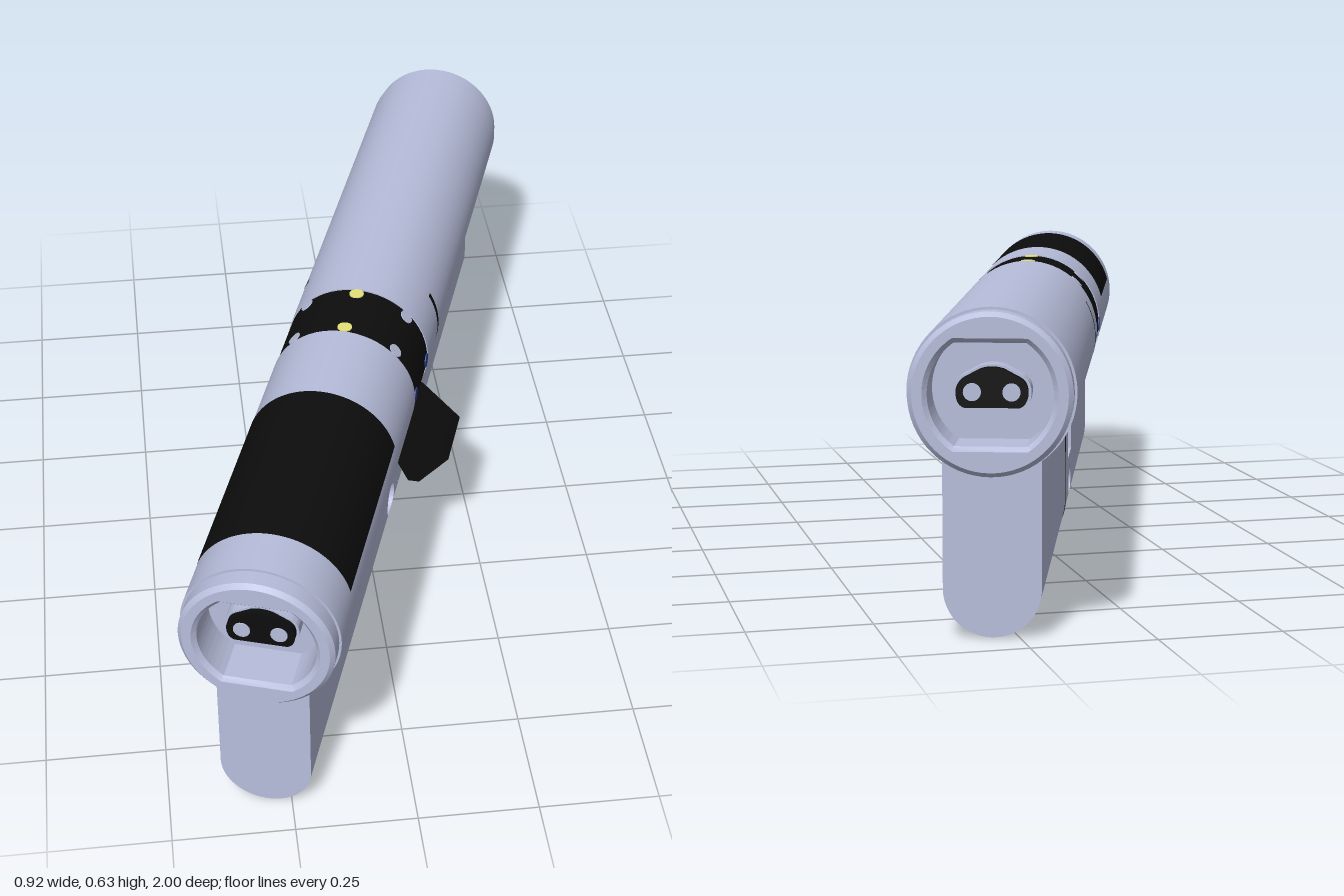
import * as THREE from 'three';
import { toCreasedNormals } from 'three/addons/utils/BufferGeometryUtils.js';

const R = 0.16, AXIS = 0.47;          // barrel radius and axis height
const HALF = 0.094;                   // half width of the web
const BODY = 0.96, END = 1.003;       // barrel and cap ends along the axis
const SLOT0 = 0.02, SLOT1 = 0.18;     // cam slot along the axis
const SLOT_FLOOR = 0.17, HOLE_Y = 0.105, HOLE_R = 0.04;

const paint = (color) => new THREE.MeshStandardMaterial({ color });
const metal = paint(0xb8bedc);
const black = paint(0x0d0d0d);
const yellow = paint(0xe6e27a);
const blue = paint(0x2c3c90);
const green = paint(0x5f8f72);
const metalThin = paint(0xb8bedc);
metalThin.side = THREE.DoubleSide;

function add(parent, name, geometry, material, x = 0, y = 0, z = 0) {
  const mesh = new THREE.Mesh(geometry, material);
  mesh.name = name;
  mesh.position.set(x, y, z);
  parent.add(mesh);
  return mesh;
}

function extrude(shape, z0, z1, bevel = 0) {
  const g = new THREE.ExtrudeGeometry(shape, {
    depth: z1 - z0 - 2 * bevel, curveSegments: 32, bevelEnabled: bevel > 0,
    bevelThickness: bevel, bevelSize: bevel, bevelOffset: -bevel, bevelSegments: 1,
  });
  g.translate(0, 0, z0 + bevel);
  return toCreasedNormals(g, 0.5);
}

// Solid cylinder along z
function rod(r, z0, z1, sides = 64) {
  return new THREE.CylinderGeometry(r, r, z1 - z0, sides).rotateX(Math.PI / 2).translate(0, 0, (z0 + z1) / 2);
}

// Thin curved band along z, between two angles measured from +x
function band(r, z0, z1, a0, a1) {
  return new THREE.CylinderGeometry(r, r, z1 - z0, 48, 1, true, a0 + Math.PI / 2, a1 - a0)
    .rotateX(Math.PI / 2).translate(0, 0, (z0 + z1) / 2);
}

// Cross-section of the web: straight sides over a round bottom
function webShape(grow, top) {
  const s = new THREE.Shape();
  s.moveTo(-HALF - grow, top);
  s.lineTo(-HALF - grow, HALF);
  s.absarc(0, HALF, HALF + grow, Math.PI, 2 * Math.PI, false);
  s.lineTo(HALF + grow, top);
  s.closePath();
  return s;
}

// Disc with a flat-sided round recess cut through it
function rimShape(r) {
  const s = new THREE.Shape().absarc(0, 0, r, 0, 2 * Math.PI, false);
  const a = Math.asin(0.097 / 0.118);
  const hole = new THREE.Path();
  hole.absarc(0, 0, 0.118, -a, a, false);
  hole.absarc(0, 0, 0.118, Math.PI - a, Math.PI + a, false);
  hole.closePath();
  s.holes.push(hole);
  return s;
}

function keyShape(k) {
  const s = new THREE.Shape();
  s.moveTo(-0.052 * k, -0.03 * k);
  s.lineTo(0.052 * k, -0.03 * k);
  s.quadraticCurveTo(0.068 * k, -0.025 * k, 0.068 * k, 0);
  s.quadraticCurveTo(0.067 * k, 0.02 * k, 0.05 * k, 0.028 * k);
  s.lineTo(0.022 * k, 0.043 * k);
  s.quadraticCurveTo(0, 0.05 * k, -0.022 * k, 0.043 * k);
  s.lineTo(-0.05 * k, 0.028 * k);
  s.quadraticCurveTo(-0.067 * k, 0.02 * k, -0.068 * k, 0);
  s.quadraticCurveTo(-0.068 * k, -0.025 * k, -0.052 * k, -0.03 * k);
  return s;
}

// Web below the slot: curved walls running from a rectangle to the cross hole, plus the hole's tunnel
function bridgeGeometry() {
  const n = 16, rings = 12, zc = (SLOT0 + SLOT1) / 2, rim = [];
  const rise = (t) => SLOT_FLOOR * (1 - Math.cos(t * Math.PI / 2));
  for (let i = 0; i < n; i++) rim.push([SLOT0 + (SLOT1 - SLOT0) * i / n, 0]);
  for (let i = 0; i < n; i++) rim.push([SLOT1, rise(i / n)]);
  for (let i = 0; i < n; i++) rim.push([SLOT1 - (SLOT1 - SLOT0) * i / n, SLOT_FLOOR]);
  for (let i = 0; i < n; i++) rim.push([SLOT0, rise(1 - i / n)]);
  const width = (y) => (y >= HALF ? HALF : Math.sqrt(Math.max(0, HALF ** 2 - (HALF - y) ** 2)));
  const pos = [], index = [], count = rim.length;
  const surface = (rows, point, flip) => {
    const base = pos.length / 3;
    for (let j = 0; j <= rows; j++) for (const p of rim) pos.push(...point(j / rows, p));
    for (let j = 0; j < rows; j++) for (let i = 0; i < count; i++) {
      const a = base + j * count + i, b = base + j * count + (i + 1) % count;
      const c = a + count, d = b + count;
      if (flip) index.push(a, c, b, b, c, d);
      else index.push(a, b, c, b, d, c);
    }
  };
  const onHole = ([z, y]) => {
    const a = Math.atan2(y - HOLE_Y, z - zc);
    return [zc + HOLE_R * Math.cos(a), HOLE_Y + HOLE_R * Math.sin(a)];
  };
  for (const side of [1, -1]) {
    surface(rings, (t, p) => {
      const k = Math.sin(t * Math.PI / 2), h = onHole(p);
      const z = h[0] + (p[0] - h[0]) * k, y = h[1] + (p[1] - h[1]) * k;
      return [side * width(y), y, z];
    }, side < 0);
  }
  surface(1, (t, p) => {
    const [z, y] = onHole(p);
    return [(2 * t - 1) * width(y), y, z];
  }, false);
  const g = new THREE.BufferGeometry();
  g.setAttribute('position', new THREE.Float32BufferAttribute(pos, 3));
  g.setIndex(index);
  g.computeVertexNormals();
  return g;
}

// One end of the barrel: stepped rim, recess and key plug
function endGroup(name) {
  const g = new THREE.Group();
  g.name = name;
  g.position.y = AXIS;
  add(g, 'barrelRim', extrude(rimShape(R), 0.9, BODY), metal);
  add(g, 'endCap', extrude(rimShape(0.155), 0.935, END, 0.009), metal);
  add(g, 'keyPlug', extrude(keyShape(1.08), 0.9, 0.945), metal);
  add(g, 'keyFace', extrude(keyShape(1), 0.94, 0.96), black);
  for (const x of [-0.037, 0.037]) add(g, 'contactPin', rod(0.017, 0.95, 0.963, 24), metal, x);
  return g;
}

// Turning cam: ring with a lever and coloured detents
function camGroup() {
  const g = new THREE.Group();
  g.name = 'cam';
  g.position.y = AXIS;
  const z0 = SLOT0 + 0.001, z1 = SLOT1 - 0.003;
  add(g, 'camRing', rod(0.158, z0, z1), black);
  const lever = new THREE.Shape([[0.06, -0.09], [0.095, -0.135], [0.147, -0.235], [0.172, -0.235],
    [0.237, -0.16], [0.15, -0.075], [0.1, -0.05]].map(([x, y]) => new THREE.Vector2(x, y)));
  add(g, 'camLever', extrude(lever, z0, z1), black);
  const colors = [blue, metal, yellow, metal, blue];
  colors.forEach((material, i) => {
    const a = i * Math.PI / 4;
    for (const z of [z0 + 0.014, z1 - 0.014]) {
      const pin = add(g, 'detent', new THREE.CylinderGeometry(0.016, 0.016, 0.02, 20), material,
        0.15 * Math.cos(a), 0.15 * Math.sin(a), z);
      pin.rotation.z = a - Math.PI / 2;
    }
  });
  return g;
}

export function createModel() {
  const model = new THREE.Group();
  model.name = 'lockCylinder';
  const lock = new THREE.Group();
  lock.name = 'lockAssembly';
  lock.rotation.y = THREE.MathUtils.degToRad(-18.3);
  model.add(lock);

  // Barrel and web on both sides of the cam slot
  add(lock, 'frontBarrel', rod(R, SLOT1, 0.905), metal, 0, AXIS);
  add(lock, 'rearBarrel', rod(R, -0.905, SLOT0), metal, 0, AXIS);
  add(lock, 'frontWeb', extrude(webShape(0, 0.36), SLOT1, 0.958), metal);
  add(lock, 'rearWeb', extrude(webShape(0, 0.36), -0.958, SLOT0), metal);

  // Bridge under the slot, with the cross hole for the fixing screw
  add(lock, 'webBridge', bridgeGeometry(), metalThin);
  add(lock, 'slotFloor', new THREE.PlaneGeometry(2 * HALF, SLOT1 - SLOT0).rotateX(-Math.PI / 2),
    metalThin, 0, SLOT_FLOOR, (SLOT0 + SLOT1) / 2);

  lock.add(camGroup());
  lock.add(endGroup('frontEnd'));
  const rear = endGroup('rearEnd');
  rear.rotation.y = Math.PI;
  lock.add(rear);

  // Black cover over the front barrel
  add(lock, 'topCover', band(R + 0.001, 0.4, 0.857, 0.25, Math.PI - 0.25), black, 0, AXIS);

  // Seam around the web and up both flanks of the barrel
  add(lock, 'webSeam', extrude(webShape(0.001, 0.35), -0.112, -0.098), black);
  add(lock, 'leftSeam', band(R + 0.001, -0.112, -0.098, -0.95, 0.52), black, 0, AXIS);
  add(lock, 'rightSeam', band(R + 0.001, -0.112, -0.098, Math.PI - 0.52, Math.PI + 0.95), black, 0, AXIS);

  // Small side pins and the screw in the underside
  for (const x of [-HALF, HALF]) add(lock, 'sidePin', new THREE.SphereGeometry(0.012, 16, 12), metal, x, 0.345, -0.01);
  add(lock, 'bottomScrew', new THREE.CylinderGeometry(0.033, 0.033, 0.03, 32), metal, 0, 0.0155, 0.78);
  add(lock, 'screwCentre', new THREE.CylinderGeometry(0.022, 0.022, 0.03, 32), green, 0, 0.015, 0.78);
  return model;
}
